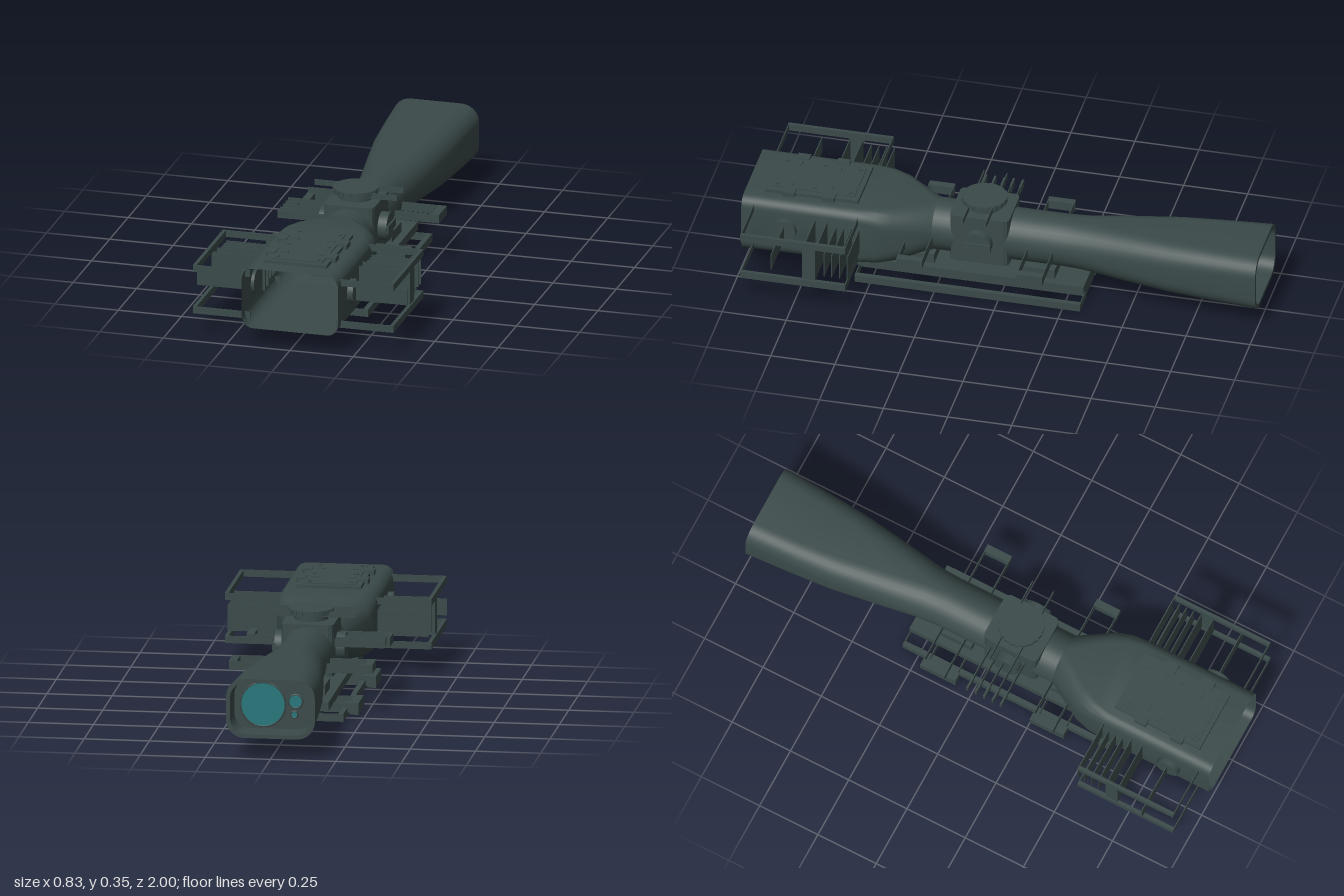
import * as THREE from 'three';
import { toCreasedNormals } from 'three/addons/utils/BufferGeometryUtils.js';

const metal = new THREE.MeshStandardMaterial({ color: 0x3a4a49, side: THREE.DoubleSide });
metal.name = 'dark slate metal';
const glass = new THREE.MeshStandardMaterial({ color: 0x27777c });
glass.name = 'teal glass';

// Rounded rectangle ring, counterclockwise seen from +z
function ring([z, hw, hh, r], cy = 0.2, n = 9) {
  const pts = [];
  [[1, 1], [-1, 1], [-1, -1], [1, -1]].forEach(([sx, sy], q) => {
    for (let i = 0; i < n; i++) {
      const a = (q + i / (n - 1)) * Math.PI / 2;
      pts.push([sx * (hw - r) + r * Math.cos(a), cy + sy * (hh - r) + r * Math.sin(a), z]);
    }
  });
  return pts;
}

// Skin over cross-sections running from front to back
function loft(sections) {
  const rings = sections.map((s) => ring(s));
  const n = rings[0].length, idx = [];
  for (let i = 0; i < rings.length - 1; i++) {
    for (let j = 0; j < n; j++) {
      const a = i * n + j, b = i * n + (j + 1) % n;
      idx.push(a, a + n, b, b, a + n, b + n);
    }
  }
  const g = new THREE.BufferGeometry();
  g.setAttribute('position', new THREE.Float32BufferAttribute(rings.flat(2), 3));
  g.setIndex(idx);
  return toCreasedNormals(g, 0.6);
}

export function createModel() {
  const model = new THREE.Group();
  model.name = 'scope';
  const add = (name, geo, x = 0, y = 0, z = 0, mat = metal) => {
    const m = new THREE.Mesh(geo, mat);
    m.name = name;
    m.position.set(x, y, z);
    model.add(m);
    return m;
  };
  // Box from its limits on each axis
  const box = (name, x0, x1, y0, y1, z0, z1) => add(name,
    new THREE.BoxGeometry(Math.abs(x1 - x0), y1 - y0, z1 - z0),
    (x0 + x1) / 2, (y0 + y1) / 2, (z0 + z1) / 2);
  // Thin upright plate across the scope
  const sheet = (name, x0, x1, y0, y1, z) => box(name, x0, x1, y0, y1, z - 0.002, z + 0.002);

  // Open front hood tapering to the tube
  add('frontHood', loft([
    [1, 0.19, 0.12, 0.045], [0.55, 0.19, 0.12, 0.05], [0.48, 0.187, 0.12, 0.06],
    [0.42, 0.175, 0.116, 0.075], [0.28, 0.1, 0.1, 0.1]]));
  add('hoodBackWall', new THREE.CircleGeometry(0.1, 36), 0, 0.2, 0.282);

  // Tube and flared eyepiece with a recessed rear opening
  add('tubeAndEyepiece', loft([
    [0.28, 0.1, 0.1, 0.1], [-0.22, 0.1, 0.1, 0.1], [-0.3, 0.105, 0.1, 0.098],
    [-0.45, 0.125, 0.105, 0.09], [-0.65, 0.15, 0.11, 0.08], [-0.8, 0.16, 0.112, 0.075],
    [-1, 0.17, 0.115, 0.07], [-1, 0.155, 0.1, 0.06], [-0.915, 0.15, 0.095, 0.058],
    [-0.915, 0.002, 0.002, 0.001]]));
  const lens = (name, x, y, r) => {
    add(name, new THREE.CylinderGeometry(r, r, 0.006, 40), x, y, -0.918, glass).rotation.x = Math.PI / 2;
    add(name + 'Ring', new THREE.TorusGeometry(r, 0.004, 6, 40), x, y, -0.918);
  };
  lens('mainLens', 0.04, 0.2, 0.085);
  lens('smallLens', -0.085, 0.215, 0.026);
  lens('tinyLens', -0.08, 0.163, 0.013);

  // Turret block, top dial and its ribs
  const block = new THREE.Shape(ring([0, 0.1, 0.115, 0.02], 0, 3).map(([x, y]) => new THREE.Vector2(x, y)));
  const blockGeo = new THREE.ExtrudeGeometry(block, { depth: 0.2, bevelEnabled: false });
  add('turretBlock', blockGeo, 0, 0.31, 0.095).rotation.x = Math.PI / 2;
  add('dialNeck', new THREE.CylinderGeometry(0.065, 0.065, 0.03, 36), 0, 0.322, 0.095);
  add('topDial', new THREE.CylinderGeometry(0.086, 0.086, 0.02, 36), 0, 0.343, 0.095);
  for (let i = 0; i < 20; i++) {
    const a = i / 20 * Math.PI * 2;
    add('dialGrip', new THREE.BoxGeometry(0.008, 0.016, 0.008),
      0.085 * Math.cos(a), 0.343, 0.095 + 0.085 * Math.sin(a)).rotation.y = -a;
  }
  for (const z of [0.05, 0.14]) sheet('turretRib', -0.176, 0.176, 0.326, 0.348, z);
  for (const s of [1, -1]) {
    add('sideDial', new THREE.CylinderGeometry(0.055, 0.055, 0.04, 32), s * 0.115, 0.205, 0.095).rotation.z = Math.PI / 2;
  }
  box('sideDialBar', 0.13, 0.142, 0.19, 0.22, 0.04, 0.145);
  // Row of thin prongs on the right side
  for (let i = 0; i < 5; i++) {
    const z = 0.015 + i * 0.036;
    sheet('sideProng', -0.24, -0.1, 0.22, 0.25, z);
    box('prongTip', -0.29, -0.24, 0.22, 0.25, z - 0.004, z + 0.004);
  }

  // Mounting rail, clamps and long side frames
  box('railTop', -0.125, 0.125, 0.045, 0.078, -0.32, 0.6);
  box('railBase', -0.09, 0.09, 0.015, 0.045, -0.32, 0.56);
  for (const [z0, z1] of [[-0.2, -0.07], [0.27, 0.395]]) {
    box('mountFoot', -0.095, 0.095, 0.075, 0.117, z0, z1);
    // Raised clamp levers on the right
    box('clampLever', -0.225, -0.19, 0.01, 0.055, z0 - 0.015, z1);
    for (const z of [z0, z1 - 0.01]) sheet('leverArm', -0.2, -0.09, 0.015, 0.052, z);
    // Side brackets
    for (const s of [1, -1]) {
      box('bracketEnd', s * 0.245, s * 0.275, 0.165, 0.2, z0 + 0.005, z1 - 0.02);
      for (const z of [z0 + 0.008, z1 - 0.023]) sheet('bracketArm', s * 0.095, s * 0.25, 0.165, 0.2, z);
    }
  }
  for (const s of [1, -1]) {
    box('railFrameBar', s * 0.162, s * 0.182, 0.005, 0.035, -0.32, 0.56);
    for (const z of [-0.318, 0.558]) sheet('railFrameEnd', s * 0.075, s * 0.182, 0.005, 0.035, z);
  }

  // Top cover plate with latches and studs
  box('coverPlate', -0.123, 0.123, 0.315, 0.333, 0.56, 0.925);
  box('coverPanel', -0.1, 0.1, 0.333, 0.337, 0.58, 0.905);
  for (const s of [1, -1]) {
    for (const z of [0.675, 0.83]) {
      box('coverLatch', s * 0.1, s * 0.138, 0.32, 0.34, z - 0.025, z + 0.025);
      box('coverSlot', s * 0.055, s * 0.085, 0.337, 0.341, z - 0.006, z + 0.006);
    }
    for (const z of [0.6, 0.74, 0.885]) {
      add('coverStud', new THREE.CylinderGeometry(0.008, 0.008, 0.006, 12), s * 0.08, 0.339, z);
    }
  }

  // Guard frames, cooling fins and knobs on both sides of the hood
  for (const s of [1, -1]) {
    for (const [y0, y1] of [[0.1, 0.128], [0.268, 0.295]]) {
      box('guardBar', s * 0.382, s * 0.396, y0, y1, 0.545, 0.955);
      for (const z of [0.547, 0.953]) sheet('guardArm', s * 0.17, s * 0.394, y0, y1, z);
    }
    for (let i = 0; i < 4; i++) sheet('coolingFin', s * 0.18, s * 0.385, 0.15, 0.25, 0.54 + i * 0.03);
    for (const z of [0.665, 0.713]) sheet('finPanel', s * 0.18, s * 0.39, 0.13, 0.266, z);
    box('finPanelCap', s * 0.384, s * 0.392, 0.13, 0.266, 0.663, 0.715);
    add('hoodKnob', new THREE.CylinderGeometry(0.047, 0.047, 0.035, 32), s * 0.195, 0.207, 0.83).rotation.z = Math.PI / 2;
    sheet('knobVane', s * 0.2, s * 0.415, 0.17, 0.235, 0.83);
  }
  return model;
}
